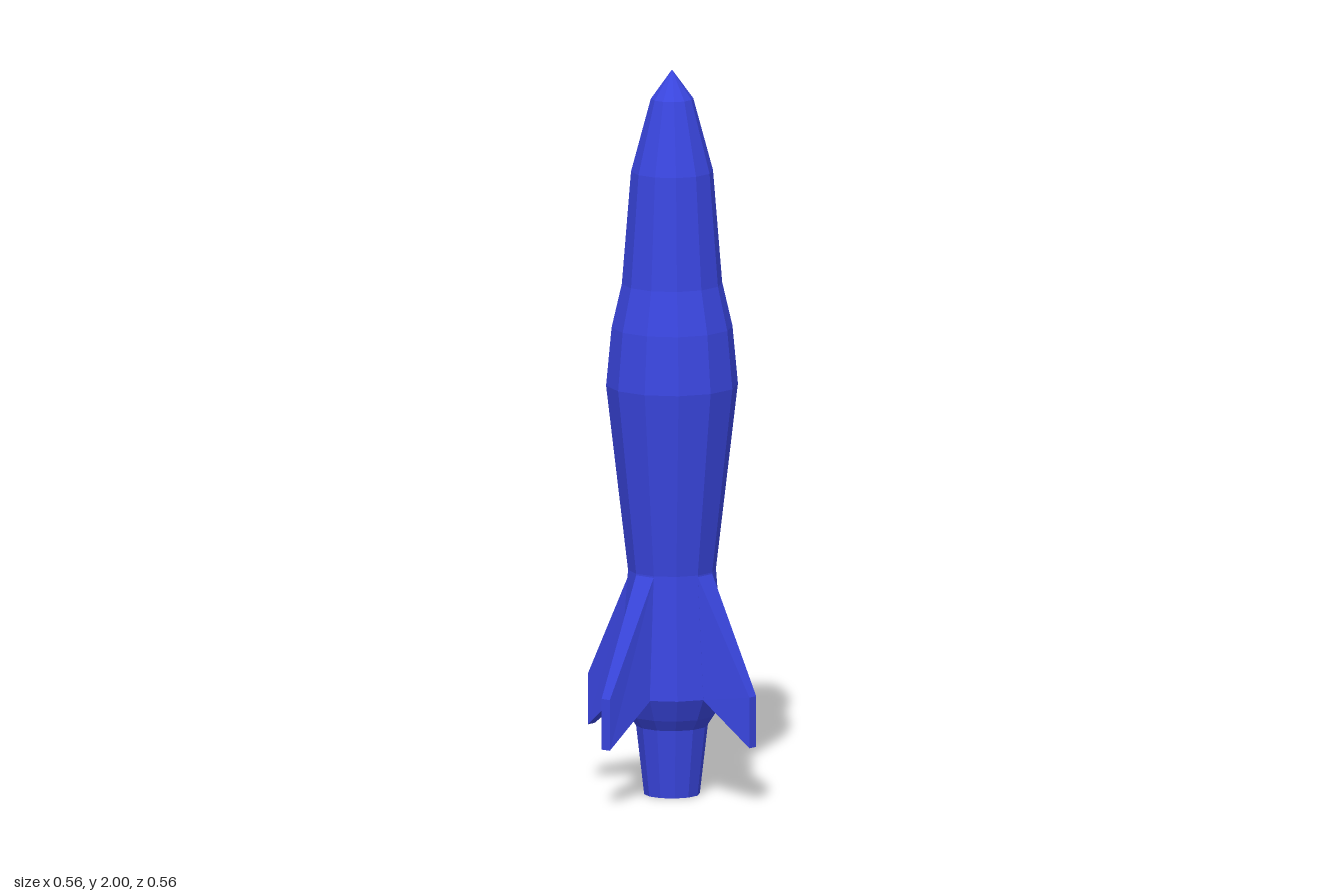
import * as THREE from 'three';

const material = new THREE.MeshStandardMaterial({ color: 0x3a46e0, flatShading: true });
const SIDES = 12;

// Faceted solid of revolution from [radius, y] pairs
function turned(name, profile) {
  const points = profile.map(([r, y]) => new THREE.Vector2(r, y));
  const mesh = new THREE.Mesh(new THREE.LatheGeometry(points, SIDES), material);
  mesh.name = name;
  return mesh;
}

// Swept fin: its root fills one hull facet and it tapers to a narrow tip
function finGeometry() {
  const half = Math.PI / SIDES;
  const geometry = new THREE.BoxGeometry(2, 2, 2);
  const p = geometry.attributes.position;
  for (let i = 0; i < p.count; i++) {
    const side = Math.sign(p.getX(i));
    const top = p.getY(i) > 0;
    if (p.getZ(i) > 0) {
      p.setXYZ(i, side * 0.0145, top ? 0.3 : 0.16, 0.284);
    } else {
      const r = top ? 0.12 : 0.146;
      p.setXYZ(i, side * r * Math.sin(half), top ? 0.62 : 0.28, r * Math.cos(half) - 0.002);
    }
  }
  geometry.computeVertexNormals();
  return geometry;
}

export function createModel() {
  const rocket = new THREE.Group();
  rocket.name = 'rocket';

  // Hull with flared tail, wide waist and pointed nose
  rocket.add(turned('hull', [
    [0.098, 0.19], [0.118, 0.22], [0.146, 0.28], [0.12, 0.62], [0.18, 1.13],
    [0.165, 1.29], [0.137, 1.41], [0.112, 1.72], [0.058, 1.92], [0, 2],
  ]));

  // Exhaust nozzle with a hollow mouth
  rocket.add(turned('nozzle', [
    [0, 0.08], [0.045, 0.08], [0.045, 0], [0.076, 0], [0.098, 0.19],
  ]));

  // Four fins, each centred on a facet
  const fin = finGeometry();
  for (let i = 0; i < 4; i++) {
    const mesh = new THREE.Mesh(fin, material);
    mesh.name = `fin${i + 1}`;
    mesh.rotation.y = Math.PI / SIDES + (i * Math.PI) / 2;
    rocket.add(mesh);
  }
  return rocket;
}
